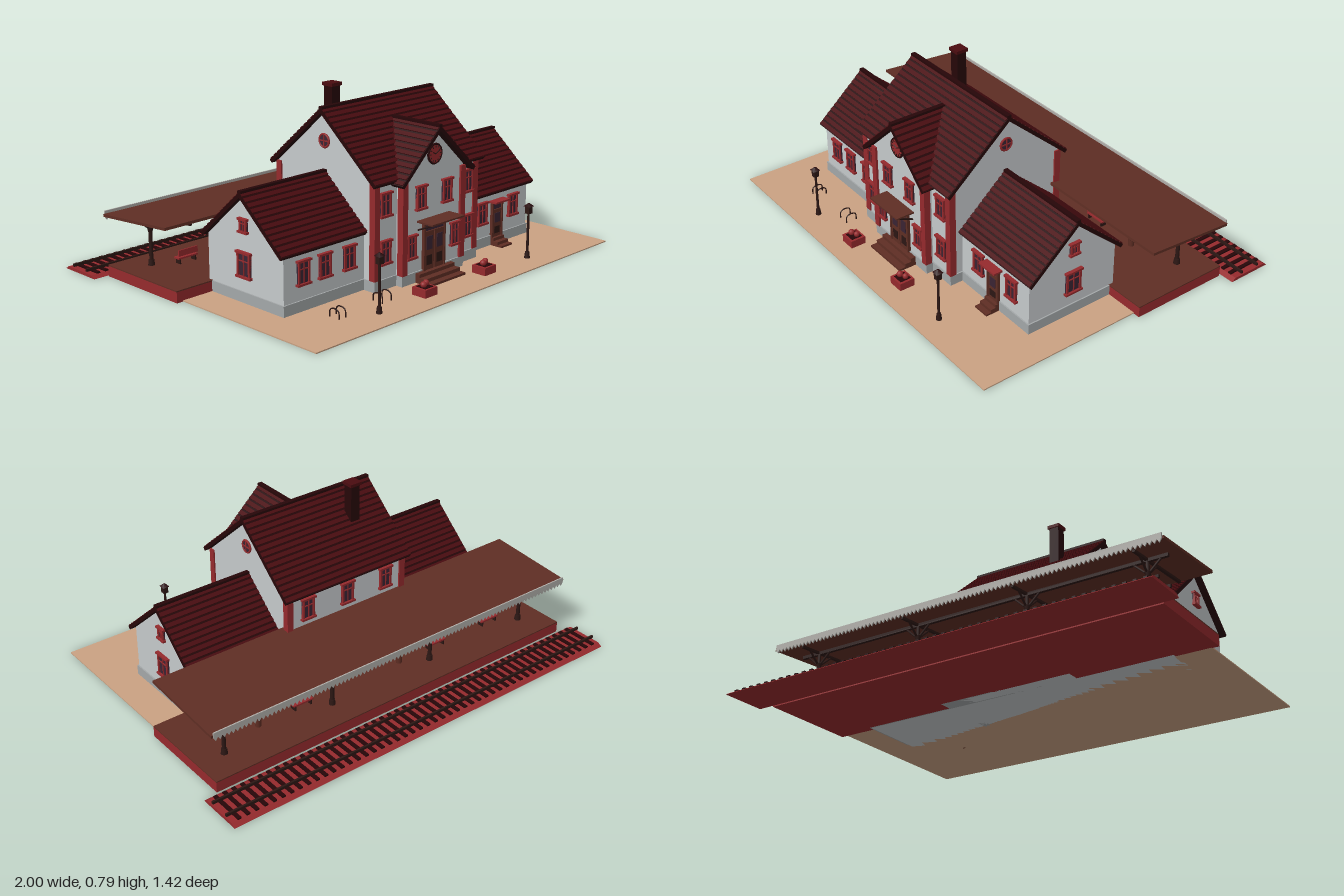
import * as THREE from 'three';

const mat = (name, color, extra = {}) => Object.assign(new THREE.MeshStandardMaterial({ color, ...extra }), { name });
const M = {
  wall: mat('wallGrey', 0xc6cacc), plinth: mat('plinthGrey', 0xa4a8a9),
  tile: mat('roofTile', 0x4a0c10), dark: mat('roofJoint', 0x260608),
  red: mat('brickRed', 0x962a2d), brown: mat('woodBrown', 0x5f2e24),
  iron: mat('darkIron', 0x2c1714), glass: mat('windowGlass', 0x3a2433),
  plaza: mat('plazaSand', 0xcaa283), trim: mat('valanceGrey', 0xb0aea9),
};

function add(parent, name, geo, m, x = 0, y = 0, z = 0) {
  const mesh = new THREE.Mesh(geo, m);
  mesh.name = name;
  mesh.position.set(x, y, z);
  parent.add(mesh);
  return mesh;
}
const box = (p, name, m, w, h, d, x, y, z) => add(p, name, new THREE.BoxGeometry(w, h, d), m, x, y, z);
const cyl = (p, name, m, r1, r2, h, x, y, z, n = 10) => add(p, name, new THREE.CylinderGeometry(r1, r2, h, n), m, x, y, z);
function group(parent, name, x = 0, y = 0, z = 0, ry = 0) {
  const g = new THREE.Group();
  g.name = name;
  g.position.set(x, y, z);
  g.rotation.y = ry;
  parent.add(g);
  return g;
}
function extrude(points, depth) {
  const s = new THREE.Shape(points.map(p => new THREE.Vector2(...p)));
  return new THREE.ExtrudeGeometry(s, { depth, bevelEnabled: false });
}
// straight bar between two points
function bar(p, name, m, a, b, r) {
  const A = new THREE.Vector3(...a), B = new THREE.Vector3(...b);
  return add(p, name, new THREE.TubeGeometry(new THREE.LineCurve3(A, B), 1, r, 6), m);
}

// gabled wall block, ridge along local z
function gableWalls(p, name, half, eave, ridge, len) {
  const pts = [[-half, 0], [half, 0], [half, eave], [0, ridge], [-half, eave]];
  add(p, name, extrude(pts, len), M.wall, 0, 0, -len / 2);
}
// two sloping slabs with raised tile courses, ridge along local z
function gableRoof(p, name, span, eave, ridge, len) {
  const L = Math.hypot(span, ridge - eave), n = Math.round(L / 0.027), pitch = L / n;
  for (const ry of [0, Math.PI]) {
    const slope = group(group(p, name, 0, ridge, 0, ry), 'roofSlope');
    slope.rotation.z = -Math.atan2(ridge - eave, span);
    box(slope, 'roofSlab', M.dark, L, 0.016, len, L / 2, -0.008, 0);
    for (let i = 0; i < n; i++) {
      const c = box(slope, 'tileCourse', M.tile, pitch * 0.68, 0.005, len - 0.004, (i + 0.5) * pitch, 0.001, 0);
      c.rotation.z = 0.08;
    }
  }
  box(p, 'ridgeCap', M.dark, 0.02, 0.012, len, 0, ridge, 0);
}

// framed window facing local +z
function windowUnit(p, x, y, z, ry = 0, w = 0.062, h = 0.095) {
  const g = group(p, 'window', x, y, z, ry), t = 0.009;
  box(g, 'pane', M.glass, w, h, 0.006, 0, 0, 0.003);
  for (const s of [-1, 1]) {
    box(g, 'frameSide', M.red, t, h, 0.014, s * (w - t) / 2, 0, 0.005);
    box(g, 'frameRail', M.red, w + 0.012, t, 0.018, 0, s * h / 2, 0.007);
  }
  box(g, 'mullion', M.red, 0.004, h, 0.01, 0, 0, 0.005);
  box(g, 'crossbar', M.red, w, 0.004, 0.01, 0, h * 0.15, 0.005);
}
// panelled door with transom, facing local +z, standing on y
function doorUnit(p, x, y, z, w, h, ry = 0, leaves = 1) {
  const g = group(p, 'door', x, y, z, ry), lw = w / leaves;
  for (let i = 0; i < leaves; i++) {
    const cx = (i + 0.5) * lw - w / 2;
    box(g, 'leaf', M.brown, lw - 0.004, h, 0.01, cx, h / 2, 0.005);
    box(g, 'doorGlass', M.glass, lw * 0.55, h * 0.35, 0.004, cx, h * 0.7, 0.011);
    box(g, 'doorPanel', M.iron, lw * 0.55, h * 0.25, 0.004, cx, h * 0.25, 0.0095);
  }
  box(g, 'transom', M.glass, w, 0.03, 0.008, 0, h + 0.017, 0.004);
  for (const s of [-1, 1]) box(g, 'jamb', M.brown, 0.008, h + 0.035, 0.016, s * w / 2, (h + 0.035) / 2, 0.006);
}
function steps(p, x, z0, w, h, depth) {
  for (let i = 0; i < 3; i++) {
    const d = depth * (3 - i) / 3;
    box(p, 'step', M.brown, w, h / 3, d, x, h * (i + 0.5) / 3, z0 + d / 2);
  }
}

export function createModel() {
  const root = new THREE.Group();
  root.name = 'railwayStation';
  const CZ = 0.153, Q = Math.PI / 2;

  // ground, platform and track
  box(root, 'plaza', M.plaza, 1.81, 0.005, 0.76, 0, 0.0025, 0.33);
  box(root, 'platform', M.red, 1.87, 0.046, 0.455, 0, 0.023, -0.2725);
  box(root, 'platformPaving', M.brown, 1.87, 0.005, 0.455, 0, 0.0485, -0.2725);
  const bed = add(root, 'trackBed', extrude([[0.51, 0], [0.715, 0], [0.695, 0.013], [0.53, 0.013]], 2), M.red, 1);
  bed.rotation.y = Q;
  bed.position.set(-1, 0, 0);
  for (let i = 0; i < 48; i++) box(root, 'sleeper', M.dark, 0.016, 0.008, 0.165, -0.964 + i * 0.041, 0.016, -0.6125);
  for (const z of [-0.567, -0.657]) box(root, 'rail', M.iron, 2, 0.012, 0.009, 0, 0.026, z);

  // long wing block and tall centre block
  const wings = group(root, 'wings', 0, 0, CZ, Q);
  gableWalls(wings, 'wingWalls', 0.22, 0.25, 0.442, 1.5);
  gableRoof(wings, 'wingRoof', 0.24, 0.25, 0.46, 1.55);
  box(root, 'wingPlinth', M.plinth, 1.512, 0.05, 0.452, 0, 0.025, CZ);
  const centre = group(root, 'centreBlock', 0, 0, CZ, Q);
  gableWalls(centre, 'centreWalls', 0.28, 0.455, 0.7, 0.625);
  gableRoof(centre, 'centreRoof', 0.307, 0.455, 0.722, 0.675);
  box(root, 'centrePlinth', M.plinth, 0.637, 0.05, 0.572, 0, 0.025, CZ);

  // projecting front gable
  const bay = group(root, 'frontGable', 0, 0, 0.3325);
  gableWalls(bay, 'bayWalls', 0.185, 0.455, 0.632, 0.265);
  box(bay, 'bayPlinth', M.plinth, 0.382, 0.05, 0.277, 0, 0.025, 0);
  const bayRoof = group(root, 'frontGableRoof', 0, 0, 0.365);
  gableRoof(bayRoof, 'bayRoof', 0.225, 0.44, 0.65, 0.27);

  // corner pilasters
  for (const s of [-1, 1]) {
    box(root, 'bayPilaster', M.red, 0.03, 0.4, 0.03, s * 0.178, 0.25, 0.46);
    box(root, 'centrePilaster', M.red, 0.03, 0.405, 0.03, s * 0.304, 0.2525, 0.424);
    box(root, 'backPilaster', M.red, 0.03, 0.405, 0.03, s * 0.304, 0.2525, -0.119);
  }

  // chimney
  box(root, 'chimney', M.dark, 0.046, 0.2, 0.046, -0.16, 0.68, 0.04);
  box(root, 'chimneyCap', M.tile, 0.058, 0.014, 0.058, -0.16, 0.782, 0.04);

  // windows
  for (const x of [-0.65, -0.535, -0.4, 0.43, 0.645]) windowUnit(root, x, 0.163, 0.373);
  for (const x of [-0.255, 0.255]) for (const y of [0.163, 0.362]) windowUnit(root, x, y, 0.433, 0, 0.058);
  for (const s of [-1, 1]) {
    windowUnit(root, s * 0.135, 0.163, 0.465, 0, 0.052);
    windowUnit(root, s * 0.08, 0.362, 0.465, 0, 0.056);
    windowUnit(root, s * 0.75, 0.163, CZ, s * Q, 0.075, 0.1);
    windowUnit(root, s * 0.75, 0.323, CZ, s * Q, 0.042, 0.052);
    // round attic window
    const g = group(root, 'roundWindow', s * 0.3125, 0.585, CZ, s * Q);
    const pane = cyl(g, 'roundPane', M.glass, 0.027, 0.027, 0.006, 0, 0, 0.003, 20);
    pane.rotation.x = Q;
    add(g, 'roundFrame', new THREE.TorusGeometry(0.027, 0.005, 6, 24), M.red, 0, 0, 0.004);
    box(g, 'roundMullion', M.red, 0.005, 0.052, 0.01, 0, 0, 0.004);
    box(g, 'roundCrossbar', M.red, 0.052, 0.005, 0.01, 0, 0, 0.004);
  }
  for (const x of [-0.21, 0, 0.21]) windowUnit(root, x, 0.38, -0.127, Math.PI);
  for (const x of [-0.21, 0.21]) windowUnit(root, x, 0.163, -0.127, Math.PI);
  for (const x of [-0.645, -0.42, 0.42, 0.645]) windowUnit(root, x, 0.163, -0.067, Math.PI);

  // doors, steps and small door roofs
  doorUnit(root, 0, 0.045, 0.465, 0.125, 0.165, 0, 2);
  steps(root, 0, 0.465, 0.22, 0.045, 0.088);
  box(root, 'entranceCanopy', M.brown, 0.2, 0.007, 0.085, 0, 0.262, 0.508);
  for (const s of [-1, 1]) bar(root, 'canopyBrace', M.iron, [s * 0.09, 0.225, 0.465], [s * 0.09, 0.258, 0.54], 0.004);
  doorUnit(root, 0.53, 0.04, 0.373, 0.065, 0.125);
  steps(root, 0.53, 0.373, 0.075, 0.04, 0.07);
  box(root, 'sideDoorCanopy', M.red, 0.1, 0.008, 0.045, 0.53, 0.206, 0.393);
  for (const x of [0, -0.533, 0.533]) doorUnit(root, x, 0.05, x ? -0.067 : -0.127, x ? 0.065 : 0.11, 0.15, Math.PI, x ? 1 : 2);

  // gable clock
  const clock = group(root, 'clock', 0, 0.53, 0.465);
  cyl(clock, 'clockFace', M.red, 0.04, 0.04, 0.008, 0, 0, 0.004, 28).rotation.x = Q;
  add(clock, 'clockRim', new THREE.TorusGeometry(0.04, 0.005, 6, 28), M.dark, 0, 0, 0.005);
  for (let i = 0; i < 12; i++) {
    const a = i * Math.PI / 6;
    box(clock, 'hourMark', M.iron, 0.003, 0.008, 0.003, Math.sin(a) * 0.031, Math.cos(a) * 0.031, 0.009).rotation.z = -a;
  }
  bar(clock, 'hourHand', M.iron, [0, 0, 0.009], [-0.017, 0.009, 0.009], 0.0025);
  bar(clock, 'minuteHand', M.iron, [0, 0, 0.009], [0.024, 0.012, 0.009], 0.002);

  // platform canopy with toothed valance
  const canopy = group(root, 'platformCanopy', 0, 0.282, -0.295);
  canopy.rotation.x = -Math.atan2(0.03, 0.41);
  box(canopy, 'canopyRoof', M.brown, 1.895, 0.012, 0.411, 0, 0, 0);
  const teeth = [[-0.94, 0.285]];
  for (let i = 0; i < 94; i++) teeth.push([-0.94 + i * 0.02, 0.262], [-0.93 + i * 0.02, 0.246]);
  teeth.push([0.94, 0.262], [0.94, 0.285]);
  add(root, 'valance', extrude(teeth, 0.006), M.trim, 0, 0, -0.505);
  box(root, 'canopyBeam', M.iron, 1.8, 0.014, 0.014, 0, 0.263, -0.37);
  for (const x of [-0.81, -0.27, 0.27, 0.81]) {
    const post = group(root, 'canopyPost', x, 0, -0.37);
    cyl(post, 'shaft', M.iron, 0.008, 0.009, 0.22, 0, 0.16, 0);
    cyl(post, 'base', M.iron, 0.012, 0.015, 0.025, 0, 0.063, 0);
    cyl(post, 'capital', M.iron, 0.014, 0.009, 0.02, 0, 0.205, 0);
    for (const s of [-1, 1]) {
      bar(post, 'brace', M.iron, [0, 0.205, 0], [0, 0.265, s * 0.07], 0.005);
      bar(post, 'brace', M.iron, [0, 0.205, 0], [s * 0.06, 0.26, 0], 0.005);
    }
    box(post, 'rafter', M.iron, 0.012, 0.012, 0.38, 0, 0.272, 0.08).rotation.x = -0.073;
  }

  // platform benches and bins
  for (const x of [-0.68, -0.36, 0.38]) {
    const b = group(root, 'bench', x, 0.05, -0.305);
    box(b, 'seat', M.red, 0.1, 0.007, 0.032, 0, 0.026, 0);
    box(b, 'backrest', M.red, 0.1, 0.026, 0.006, 0, 0.049, 0.014);
    for (const s of [-1, 1]) box(b, 'leg', M.iron, 0.006, 0.026, 0.028, s * 0.04, 0.013, 0);
  }
  for (const x of [-0.15, 0.6]) cyl(root, 'bin', M.brown, 0.016, 0.013, 0.06, x, 0.08, -0.305, 12);

  // street lamps and planters on the plaza
  for (const s of [-1, 1]) {
    const lamp = group(root, 'streetLamp', s * 0.465, 0, 0.603);
    cyl(lamp, 'lampBase', M.iron, 0.009, 0.013, 0.03, 0, 0.019, 0);
    cyl(lamp, 'lampPole', M.iron, 0.005, 0.006, 0.2, 0, 0.11, 0);
    box(lamp, 'lantern', M.iron, 0.023, 0.033, 0.023, 0, 0.222, 0);
    const cap = cyl(lamp, 'lanternCap', M.dark, 0.004, 0.023, 0.014, 0, 0.244, 0, 4);
    cap.rotation.y = Math.PI / 4;
    const planter = group(root, 'planter', s * 0.187, 0, 0.59);
    box(planter, 'planterBox', M.red, 0.072, 0.036, 0.07, 0, 0.021, 0);
    box(planter, 'soil', M.dark, 0.05, 0.003, 0.05, 0, 0.0395, 0);
    for (const [x, z, r] of [[-0.012, 0.004, 0.014], [0.014, -0.006, 0.013]])
      add(planter, 'shrub', new THREE.IcosahedronGeometry(r, 1), M.red, x, 0.051, z);
  }

  // bicycle hoops
  for (const x of [-0.62, -0.585, -0.38, -0.33]) {
    const c = new THREE.CatmullRomCurve3([[0, 0.49], [0.035, 0.493], [0.043, 0.515], [0.035, 0.537], [0, 0.54]]
      .map(([y, z]) => new THREE.Vector3(x, y, z)));
    add(root, 'bikeHoop', new THREE.TubeGeometry(c, 16, 0.0028, 6), M.iron);
  }
  return root;
}
